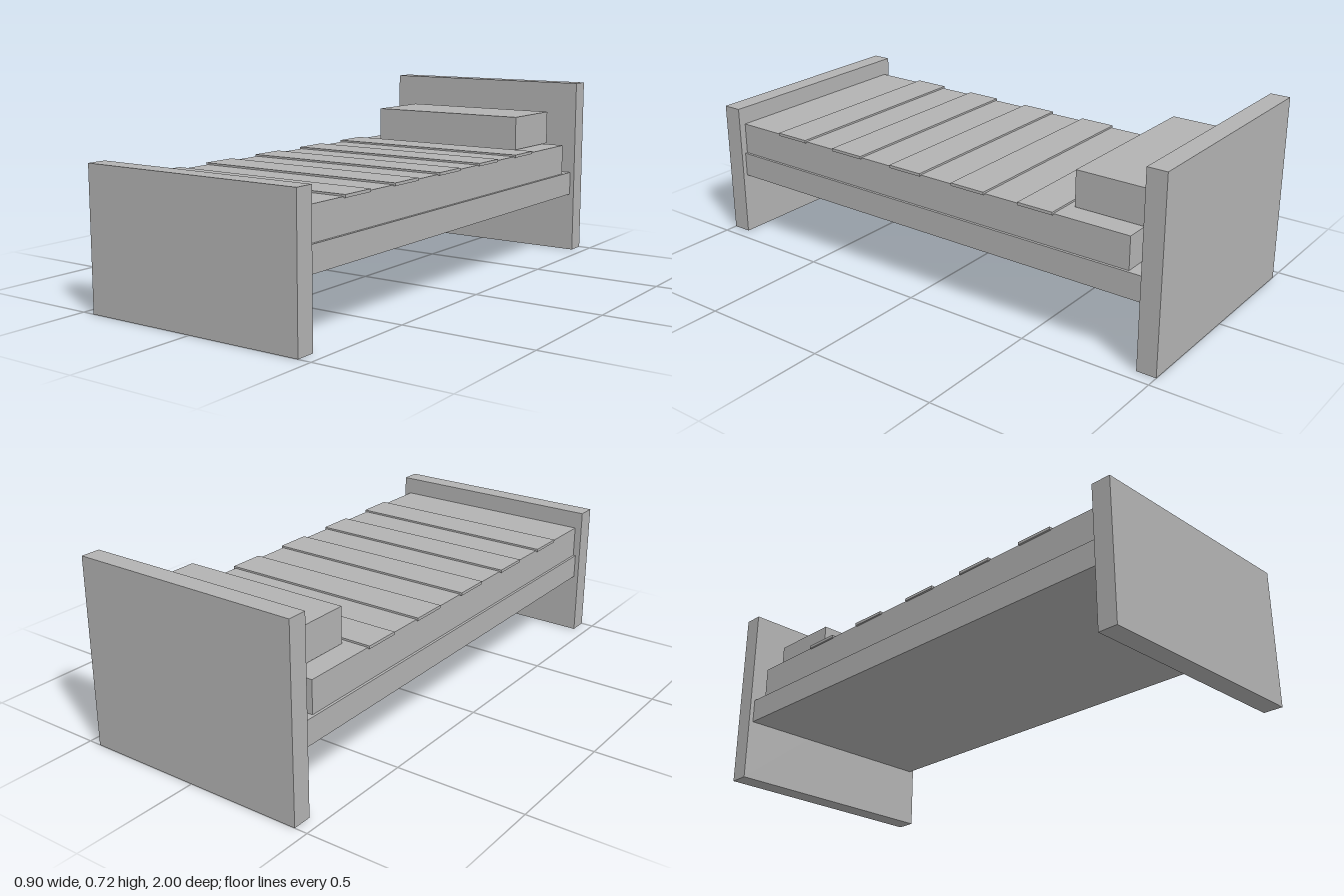
import * as THREE from 'three';

export function createModel() {
  const bed = new THREE.Group();
  bed.name = 'bed';
  const grey = new THREE.MeshStandardMaterial({ color: 0xb2b2b2 });
  grey.name = 'plain grey';

  // Box symmetric in x, given by its half width and its y and z limits
  function addBox(name, halfWidth, y0, y1, z0, z1) {
    const mesh = new THREE.Mesh(new THREE.BoxGeometry(halfWidth * 2, y1 - y0, z1 - z0), grey);
    mesh.name = name;
    mesh.position.set(0, (y0 + y1) / 2, (z0 + z1) / 2);
    bed.add(mesh);
  }

  // End boards standing on the floor
  addBox('headboard', 0.45, 0, 0.722, -1, -0.925);
  addBox('footboard', 0.45, 0, 0.53, 0.925, 1);

  // Frame between the boards, with the mattress on top
  addBox('frame', 0.432, 0.243, 0.338, -0.925, 0.925);
  addBox('mattress', 0.422, 0.338, 0.461, -0.865, 0.925);

  // Slightly raised, overhanging blanket bands
  const bandDepth = 0.1435;
  for (let i = 0; i < 5; i++) {
    const front = 0.723 - i * 2 * bandDepth;
    addBox('blanketBand', 0.429, 0.457, 0.468, front - bandDepth, front);
  }

  // Pillow
  addBox('pillow', 0.336, 0.463, 0.598, -0.885, -0.598);

  return bed;
}
